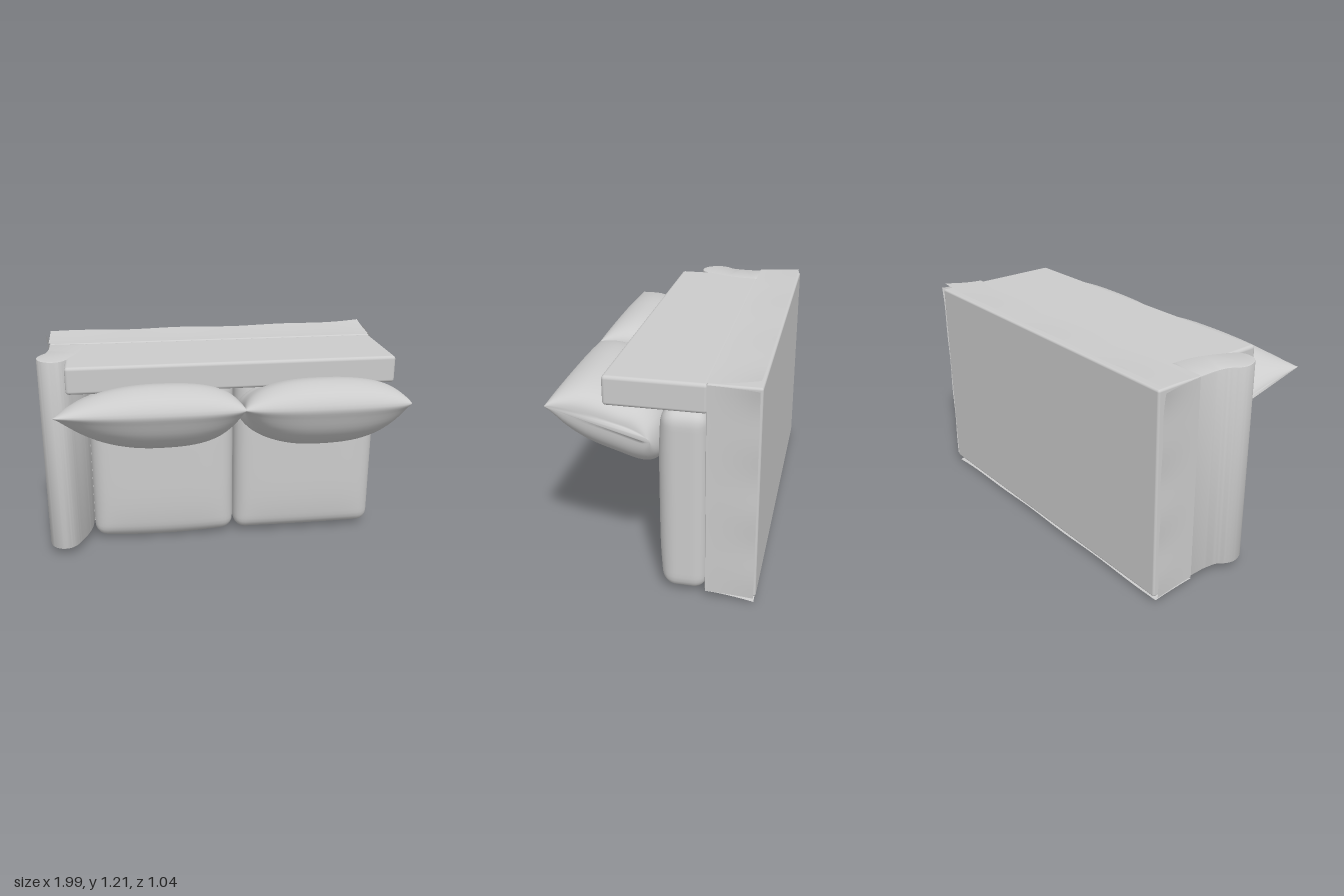
import * as THREE from 'three';
import { mergeVertices, toCreasedNormals } from 'three/addons/utils/BufferGeometryUtils.js';
import { RoundedBoxGeometry } from 'three/addons/geometries/RoundedBoxGeometry.js';

const material = new THREE.MeshStandardMaterial({ color: 0xcccccc });
const clothMaterial = new THREE.MeshStandardMaterial({ color: 0xcccccc, side: THREE.DoubleSide });

function part(name, geometry, mat = material) {
  const mesh = new THREE.Mesh(geometry, mat);
  mesh.name = name;
  return mesh;
}

// Box with rounded edges given by its limits
function slab(name, x0, x1, y0, y1, z0, z1, radius) {
  const mesh = part(name, new RoundedBoxGeometry(x1 - x0, y1 - y0, z1 - z0, 3, radius));
  mesh.position.set((x0 + x1) / 2, (y0 + y1) / 2, (z0 + z1) / 2);
  return mesh;
}

// Finely divided rounded box whose front and lower edge are puffed out
function seatCushion(name, x0, x1, y0, y1, sag) {
  const z0 = -0.265, z1 = -0.038, r = 0.07;
  const half = new THREE.Vector3(x1 - x0, y1 - y0, z1 - z0).multiplyScalar(0.5);
  const inner = half.clone().subScalar(r);
  let geo = new THREE.BoxGeometry(half.x * 2, half.y * 2, half.z * 2, 36, 40, 14);
  geo.deleteAttribute('uv');
  geo.deleteAttribute('normal');
  geo = mergeVertices(geo);
  const pos = geo.attributes.position;
  const p = new THREE.Vector3(), core = new THREE.Vector3();
  for (let i = 0; i < pos.count; i++) {
    p.fromBufferAttribute(pos, i);
    core.copy(p).clamp(inner.clone().negate(), inner);
    p.sub(core).setLength(r).add(core);
    const u = p.x / half.x, v = p.y / half.y, w = p.z / half.z;
    const puff = (1 - u ** 4) * (1 - v ** 4);
    p.z += 0.035 * puff * Math.max(0, w);
    p.y -= sag * Math.max(0, -v) ** 3 * (1 - u * u) * (1 - w * w * 0.6);
    pos.setXYZ(i, p.x, p.y, p.z);
  }
  geo.computeVertexNormals();
  const mesh = part(name, geo);
  mesh.position.set((x0 + x1) / 2, (y0 + y1) / 2, (z0 + z1) / 2);
  return mesh;
}

// Loose pillow: a closed z-y section swept in x, tapering bluntly at both sides
function pillow(name, x0, x1, depth, lean, taperRight, taperLeft) {
  const outline = [[0.52, 0.99], [0.475, 1.06], [0.36, 1.1], [0.24, 1.08], [0.13, 1.04], [0.04, 1.02],
    [-0.025, 0.95], [-0.045, 0.85], [-0.03, 0.73], [0.02, 0.665], [0.08, 0.65], [0.2, 0.68],
    [0.35, 0.74], [0.45, 0.83], [0.5, 0.93]].map(([z, y]) => new THREE.Vector3(0, y, z));
  const around = 56, along = 52;
  const section = new THREE.CatmullRomCurve3(outline, true).getPoints(around).slice(0, around);
  const tip = new THREE.Vector3(0, 1.0, 0.51);
  const axis = tip.clone().sub(new THREE.Vector3(0, 0.85, -0.03)).normalize();
  const positions = [], index = [];
  for (let i = 0; i <= along; i++) {
    const u = Math.sin((i / along - 0.5) * Math.PI);
    const skew = u - lean * (1 - u * u);
    const thick = Math.max(0.001, 1 - Math.abs(skew) ** 2.4) ** (u < 0 ? taperRight : taperLeft);
    for (const s of section) {
      const off = s.clone().sub(tip);
      const a = off.dot(axis);
      off.addScaledVector(axis, -a);
      const swell = thick * (off.y < 0 ? depth : 1);
      const t = THREE.MathUtils.clamp(-a / 0.56, 0, 1);
      const shrink = 1 - 0.12 * u ** 6 * t;
      const q = tip.clone().addScaledVector(axis, a * shrink).addScaledVector(off, swell);
      const waist = 1 - 0.07 * Math.sin(t * Math.PI * 0.75);
      positions.push((x0 + x1) / 2 + (x1 - x0) / 2 * u * waist, q.y, q.z);
    }
  }
  for (let i = 0; i < along; i++) {
    for (let j = 0; j < around; j++) {
      const a = i * around + j, b = i * around + (j + 1) % around;
      index.push(a, a + around, b, b, a + around, b + around);
    }
  }
  // Close both ends
  const end = along * around;
  for (let j = 1; j < around - 1; j++) {
    index.push(0, j, j + 1, end, end + j + 1, end + j);
  }
  const geo = new THREE.BufferGeometry();
  geo.setAttribute('position', new THREE.Float32BufferAttribute(positions, 3));
  geo.setIndex(index);
  geo.computeVertexNormals();
  return part(name, geo);
}

// Thin cloth strip hung round the base, flaring outwards with gentle waves
function skirtPanel(name, from, to, outward) {
  const geo = new THREE.PlaneGeometry(1, 1, 40, 8);
  const pos = geo.attributes.position;
  for (let i = 0; i < pos.count; i++) {
    const u = pos.getX(i) + 0.5, s = pos.getY(i) + 0.5;
    const flare = 0.004 + s ** 1.6 * (0.014 + 0.003 * Math.sin(u * 19) + 0.016 * u ** 8);
    const p = from.clone().lerp(to, u).addScaledVector(outward, flare);
    pos.setXYZ(i, p.x, p.y, -0.265 - 0.245 * s);
  }
  geo.computeVertexNormals();
  return part(name, geo, clothMaterial);
}

// Scrolled arm: profile seen along y, extruded over the depth of the seat
function rolledArm() {
  const v = (x, z) => new THREE.Vector2(x, -z);
  const shape = new THREE.Shape();
  shape.moveTo(-0.74, 0.27);
  shape.lineTo(-0.94, 0.27);
  shape.lineTo(-0.94, 0.17);
  shape.splineThru([v(-0.953, -0.09), v(-0.985, -0.04), v(-0.998, 0.01), v(-0.98, 0.07), v(-0.935, 0.107),
    v(-0.88, 0.107), v(-0.84, 0.075), v(-0.81, 0.02), v(-0.775, -0.06), v(-0.75, -0.15), v(-0.74, -0.27)]);
  const geo = new THREE.ExtrudeGeometry(shape, {
    depth: 1.116, curveSegments: 5, bevelThickness: 0.007, bevelSize: 0.005, bevelOffset: -0.005, bevelSegments: 2,
  });
  geo.rotateX(-Math.PI / 2);
  geo.translate(0, 0.057, 0);
  return part('rolledArm', toCreasedNormals(geo, 0.6));
}

// Settee lying on its back: seat faces +z, backrest lies along the top
export function createModel() {
  const group = new THREE.Group();
  group.name = 'settee';
  group.add(
    slab('base', -0.94, 0.96, 0.045, 1.183, -0.52, -0.26, 0.012),
    slab('backrest', -0.84, 0.96, 1.03, 1.18, -0.268, 0.234, 0.018),
    rolledArm(),
    seatCushion('rightSeatCushion', -0.735, 0.105, 0.035, 1.025, 0.03),
    seatCushion('leftSeatCushion', 0.112, 0.96, 0.03, 1.025, 0.006),
    pillow('rightPillow', -0.9, 0.085, 0.92, 0.14, 0.62, 0.38),
    pillow('leftPillow', 0.075, 0.962, 1, 0.03, 0.5, 0.34),
  );
  const P = (x, y) => new THREE.Vector3(x, y, 0);
  group.add(
    skirtPanel('backSkirt', P(-0.945, 1.183), P(0.955, 1.183), P(0, 1)),
    skirtPanel('frontSkirt', P(-0.945, 0.045), P(0.955, 0.045), P(0, -1)),
    skirtPanel('leftSkirt', P(0.962, 0.05), P(0.962, 1.18), P(1, 0)),
    skirtPanel('rightSkirt', P(-0.942, 0.05), P(-0.942, 1.18), P(-1, 0)),
  );
  return group;
}
